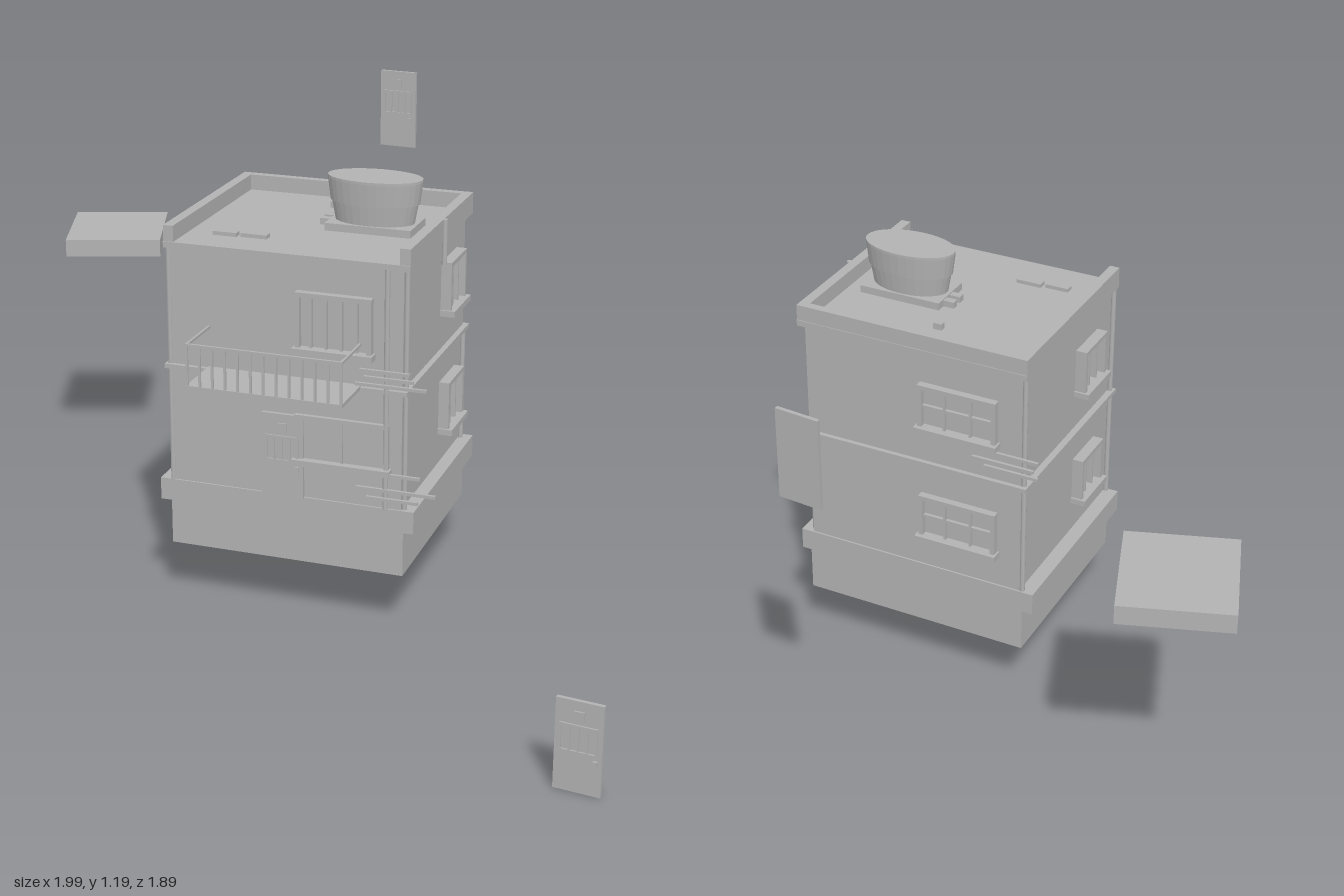
import * as THREE from 'three';

const concrete = new THREE.MeshStandardMaterial({ color: 0xb2b2b2 });
concrete.name = 'concreteGrey';

// Box given by its minimum and maximum on each axis
function box(parent, name, x0, x1, y0, y1, z0, z1) {
  const m = new THREE.Mesh(new THREE.BoxGeometry(x1 - x0, y1 - y0, z1 - z0), concrete);
  m.position.set((x0 + x1) / 2, (y0 + y1) / 2, (z0 + z1) / 2);
  m.name = name;
  parent.add(m);
  return m;
}

function group(parent, name, x = 0, y = 0, z = 0, ry = 0) {
  const g = new THREE.Group();
  g.name = name;
  g.position.set(x, y, z);
  g.rotation.y = ry;
  parent.add(g);
  return g;
}

// Frame, sill and glazing bars, facing local +z with its back on z = 0
function windowUnit(parent, name, x, y, z, ry, w, h, cols, rows, depth = 0.02) {
  const g = group(parent, name, x, y, z, ry);
  const a = w / 2, b = h / 2, t = 0.012;
  box(g, 'frameLeft', -a, -a + t, -b, b, 0, depth);
  box(g, 'frameRight', a - t, a, -b, b, 0, depth);
  box(g, 'frameTop', -a + t, a - t, b - t, b, 0, depth);
  box(g, 'sill', -a - 0.006, a + 0.006, -b - 0.01, -b + 0.006, 0, depth + 0.012);
  box(g, 'pane', -a + t, a - t, -b, b - t, 0, 0.003);
  for (let i = 1; i < cols; i++) {
    const bx = -a + (w * i) / cols;
    box(g, 'mullion', bx - 0.003, bx + 0.003, -b, b - t, 0.003, depth * 0.7);
  }
  for (let i = 1; i < rows; i++) {
    const by = -b + (h * i) / rows;
    box(g, 'crossbar', -a + t, a - t, by - 0.003, by + 0.003, 0.003, depth * 0.6);
  }
}

// Door leaf with a barred hatch and a letter plate
function door(parent, name, x, y, z, ry) {
  const g = group(parent, name, x, y, z, ry);
  box(g, 'leaf', -0.056, 0.056, 0, 0.228, -0.005, 0.005);
  box(g, 'hatchTop', -0.045, 0.045, 0.165, 0.17, 0.005, 0.009);
  box(g, 'hatchBottom', -0.045, 0.045, 0.1, 0.105, 0.005, 0.009);
  for (let i = 0; i < 5; i++) {
    const bx = -0.042 + i * 0.021;
    box(g, 'hatchBar', bx - 0.002, bx + 0.002, 0.105, 0.165, 0.005, 0.009);
  }
  box(g, 'plate', -0.012, 0.012, 0.18, 0.204, 0.005, 0.009);
  box(g, 'handle', 0.036, 0.046, 0.075, 0.09, 0.005, 0.011);
}

export function createModel() {
  const model = new THREE.Group();
  model.name = 'building';

  // Walls, plinth and bands
  const shell = group(model, 'shell');
  box(shell, 'plinth', -0.29, 0.345, 0.16, 0.28, -0.235, 0.325);
  box(shell, 'plinthLedge', -0.32, 0.372, 0.28, 0.34, -0.235, 0.325);
  box(shell, 'walls', -0.28, 0.337, 0.34, 0.975, -0.23, 0.32);
  box(shell, 'floorBand', -0.298, 0.352, 0.65, 0.662, -0.242, 0.332);
  box(shell, 'roofSlab', -0.295, 0.355, 0.972, 0.988, -0.24, 0.33);

  // Parapet on three sides, front left open
  box(shell, 'parapetLeft', -0.295, -0.268, 0.988, 1.03, -0.238, 0.327);
  box(shell, 'parapetRight', 0.328, 0.355, 0.988, 1.03, -0.238, 0.327);
  box(shell, 'parapetBack', -0.268, 0.328, 0.988, 1.03, -0.238, -0.215);

  // Downpipes
  const pipes = group(model, 'downpipes');
  for (const [x, z, y0, y1] of [
    [0.297, 0.326, 0.34, 0.975], [-0.286, 0.318, 0.34, 0.975],
    [0.343, -0.212, 0.34, 0.65], [0.343, 0.31, 0.34, 0.975],
    [0.358, 0.04, 0.91, 1.03], [-0.286, -0.225, 0.34, 0.975],
  ]) {
    const p = new THREE.Mesh(new THREE.CylinderGeometry(0.007, 0.007, y1 - y0, 8), concrete);
    p.name = 'pipe';
    p.position.set(x, (y0 + y1) / 2, z);
    pipes.add(p);
  }

  // Windows on each side, two storeys
  windowUnit(model, 'frontUpperWindow', 0.16, 0.82, 0.32, 0, 0.2, 0.15, 5, 1);
  windowUnit(model, 'frontLowerWindow', 0.18, 0.505, 0.32, 0, 0.25, 0.125, 2, 1, 0.012);
  for (const y of [0.5, 0.83]) {
    windowUnit(model, 'backWindow', -0.105, y, -0.23, Math.PI, 0.22, 0.125, 3, 2);
    windowUnit(model, 'leftWindow', -0.28, y, 0.16, -Math.PI / 2, 0.135, 0.125, 3, 1, 0.03);
    windowUnit(model, 'rightWindow', 0.337, y + 0.003, -0.08, Math.PI / 2, 0.145, 0.135, 3, 1, 0.028);
  }

  // Front door and the two loose door panels
  door(model, 'frontDoor', 0.022, 0.335, 0.325, 0);
  door(model, 'loosePanelLow', 0.941, 0, 0.929, -0.11);
  door(model, 'loosePanelHigh', -0.07, 0.961, -0.934, -0.08);

  // Balcony with railing
  const balcony = group(model, 'balcony');
  box(balcony, 'balconyFloor', -0.18, 0.23, 0.655, 0.665, 0.32, 0.472);
  box(balcony, 'frontRail', -0.18, 0.23, 0.768, 0.775, 0.465, 0.472);
  for (const x of [-0.18, 0.224]) box(balcony, 'sideRail', x, x + 0.006, 0.768, 0.775, 0.32, 0.465);
  for (let i = 0; i <= 12; i++) {
    const x = -0.178 + (i * 0.404) / 12;
    box(balcony, 'baluster', x - 0.002, x + 0.004, 0.665, 0.768, 0.466, 0.471);
  }

  // Stacks of thin rods near two corners
  const rods = group(model, 'rods');
  for (const [x0, x1, y, z] of [
    [0.22, 0.405, 0.675, 0.34], [0.24, 0.37, 0.692, 0.335], [0.23, 0.36, 0.71, 0.335],
    [0.22, 0.43, 0.392, 0.33], [0.25, 0.385, 0.37, 0.335], [0.23, 0.39, 0.437, 0.335],
    [-0.33, -0.17, 0.745, -0.24], [-0.32, -0.15, 0.722, -0.245], [-0.33, -0.18, 0.7, -0.24],
  ]) box(rods, 'rod', x0, x1, y - 0.004, y + 0.004, z - 0.004, z + 0.004);

  // Oval water tank on its stand
  const tank = group(model, 'waterTank', 0.17, 0, 0.035);
  box(tank, 'stand', -0.115, 0.115, 0.988, 1.008, -0.066, 0.066);
  const profile = [[0, 1.005], [0.83, 1.005], [0.91, 1.06], [0.94, 1.06], [1, 1.118], [1, 1.125], [0, 1.125]];
  const body = new THREE.LatheGeometry(profile.map(([r, y]) => new THREE.Vector2(r, y)), 32).toNonIndexed();
  body.scale(0.126, 1, 0.072);
  body.computeVertexNormals();
  const tankBody = new THREE.Mesh(body, concrete);
  tankBody.name = 'tankBody';
  tank.add(tankBody);
  for (const z of [-0.04, -0.005]) box(tank, 'standBlock', -0.145, -0.115, 0.988, 1.005, z, z + 0.02);

  // Roof hatches and vent
  const roof = group(model, 'roofDetails');
  box(roof, 'hatchA', -0.2, -0.135, 0.988, 0.998, 0.21, 0.233);
  box(roof, 'hatchB', -0.125, -0.055, 0.988, 0.998, 0.202, 0.228);
  box(roof, 'vent', -0.002, 0.022, 0.988, 1.005, -0.125, -0.11);

  // Loose flat slab beside the building
  const slab = group(model, 'looseSlab', -0.8175, 0.725, -0.52, 0.333);
  box(slab, 'slab', -0.138, 0.138, -0.025, 0.025, -0.152, 0.152);

  return model;
}
